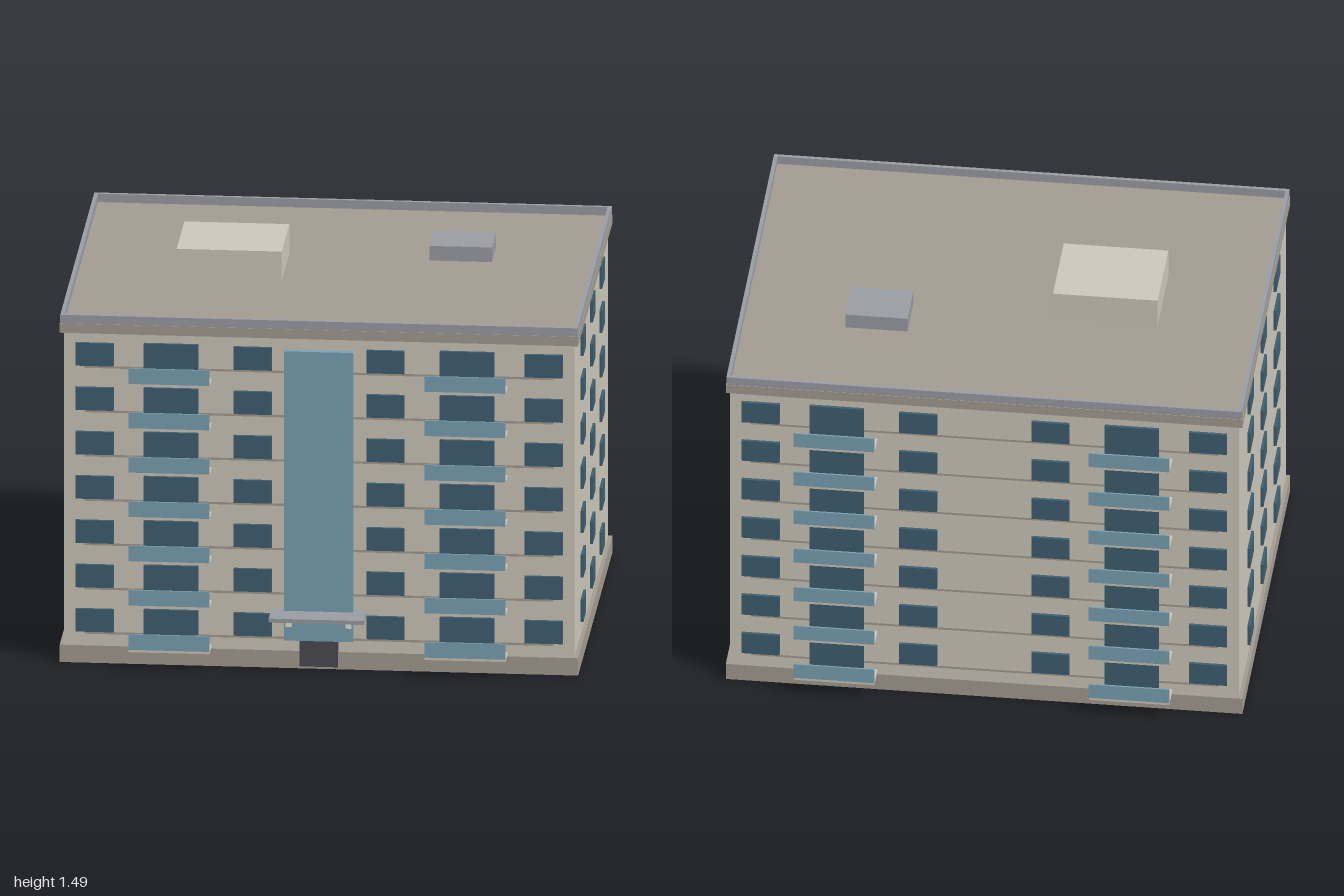
import * as THREE from 'three';

const FLOORS = 7, PITCH = 0.179;
const ZC = -0.016;            // centre of the block in z
const HX = 0.985, HZ = 0.755; // half sizes of the walls

const paint = (color) => new THREE.MeshStandardMaterial({ color });
const MAT = {
  wall: paint(0xcdc7ba), stone: paint(0xa39b90), window: paint(0x3f5f70),
  glass: paint(0x7aa0b4), metal: paint(0x9a9ca4), door: paint(0x4a4a52), lamp: paint(0xe8e4d4),
};

// Box given by its extents on each axis
function box(parent, name, mat, [x0, x1], [y0, y1], [z0, z1]) {
  const mesh = new THREE.Mesh(new THREE.BoxGeometry(x1 - x0, y1 - y0, z1 - z0), mat);
  mesh.position.set((x0 + x1) / 2, (y0 + y1) / 2, (z0 + z1) / 2);
  mesh.name = name;
  parent.add(mesh);
  return mesh;
}

const around = (c, w) => [c - w / 2, c + w / 2];

// One long facade, built facing +z with the wall plane at z = 0
function longFacade(name) {
  const g = new THREE.Group();
  g.name = name;
  for (let i = 0; i < FLOORS; i++) {
    const y = i * PITCH;
    box(g, 'sillBand', MAT.stone, [-0.904, 0.904], [y + 0.115, y + 0.124], [-0.01, 0.008]);
    for (const s of [-1, 1]) {
      for (const x of [0.256, 0.866]) {
        box(g, 'window', MAT.window, around(s * x, 0.147), [y + 0.124, y + 0.216], [-0.01, 0.012]);
      }
      const bx = s * 0.571;
      box(g, 'balconyDoor', MAT.window, around(bx, 0.21), [y + 0.083, y + 0.22], [-0.01, 0.012]);
      box(g, 'balconySlab', MAT.wall, around(bx, 0.312), [y + 0.073, y + 0.083], [-0.01, 0.095]);
      box(g, 'balconyRail', MAT.glass, around(bx, 0.312), [y + 0.083, y + 0.145], [0.089, 0.096]);
    }
  }
  return g;
}

export function createModel() {
  const model = new THREE.Group();
  model.name = 'apartmentBlock';

  // Main volume
  box(model, 'plinth', MAT.stone, [-1, 1], [0, 0.07], around(ZC, 1.538));
  box(model, 'walls', MAT.wall, [-HX, HX], [0.07, 1.33], around(ZC, 2 * HZ));
  box(model, 'roofSlab', MAT.stone, [-1, 1], [1.33, 1.368], around(ZC, 1.538));

  // Parapet around the roof edge
  const zo = 0.767, t = 0.015;
  for (const s of [-1, 1]) {
    box(model, 'parapetLong', MAT.metal, [-0.998, 0.998], [1.368, 1.402], around(ZC + s * (zo - t / 2), t));
    box(model, 'parapetShort', MAT.metal, around(s * (0.998 - t / 2), t), [1.368, 1.402], around(ZC, 2 * (zo - t)));
  }

  // Roof structures
  box(model, 'stairHousing', MAT.wall, [-0.6, -0.195], [1.368, 1.487], [-0.19, 0.155]);
  box(model, 'roofVent', MAT.metal, [0.35, 0.59], [1.368, 1.427], [-0.34, -0.15]);

  // Front and back facades
  const front = longFacade('frontFacade');
  front.position.z = ZC + HZ;
  const back = longFacade('backFacade');
  back.rotation.y = Math.PI;
  back.position.z = ZC - HZ;
  model.add(front, back);

  // Side windows
  for (const s of [-1, 1]) {
    for (let i = 0; i < FLOORS; i++) {
      for (const dz of [-0.42, 0, 0.42]) {
        box(model, 'sideWindow', MAT.window, around(s * HX, 0.022),
          [i * PITCH + 0.125, i * PITCH + 0.215], around(ZC + dz, 0.125));
      }
    }
  }

  // Entrance: glazed stair strip, door, canopy and lamps
  const wallZ = ZC + HZ;
  box(model, 'stairGlazing', MAT.glass, [-0.133, 0.133], [0.115, 1.283], [wallZ - 0.01, 0.766]);
  box(model, 'entranceDoor', MAT.door, [-0.074, 0.074], [0.012, 0.115], [wallZ - 0.01, 0.766]);
  box(model, 'canopy', MAT.metal, [-0.184, 0.184], [0.219, 0.235], [wallZ - 0.01, 0.869]);
  for (const s of [-1, 1]) {
    box(model, 'entranceLamp', MAT.lamp, around(s * 0.116, 0.022), [0.172, 0.206], [0.76, 0.775]);
  }
  return model;
}
